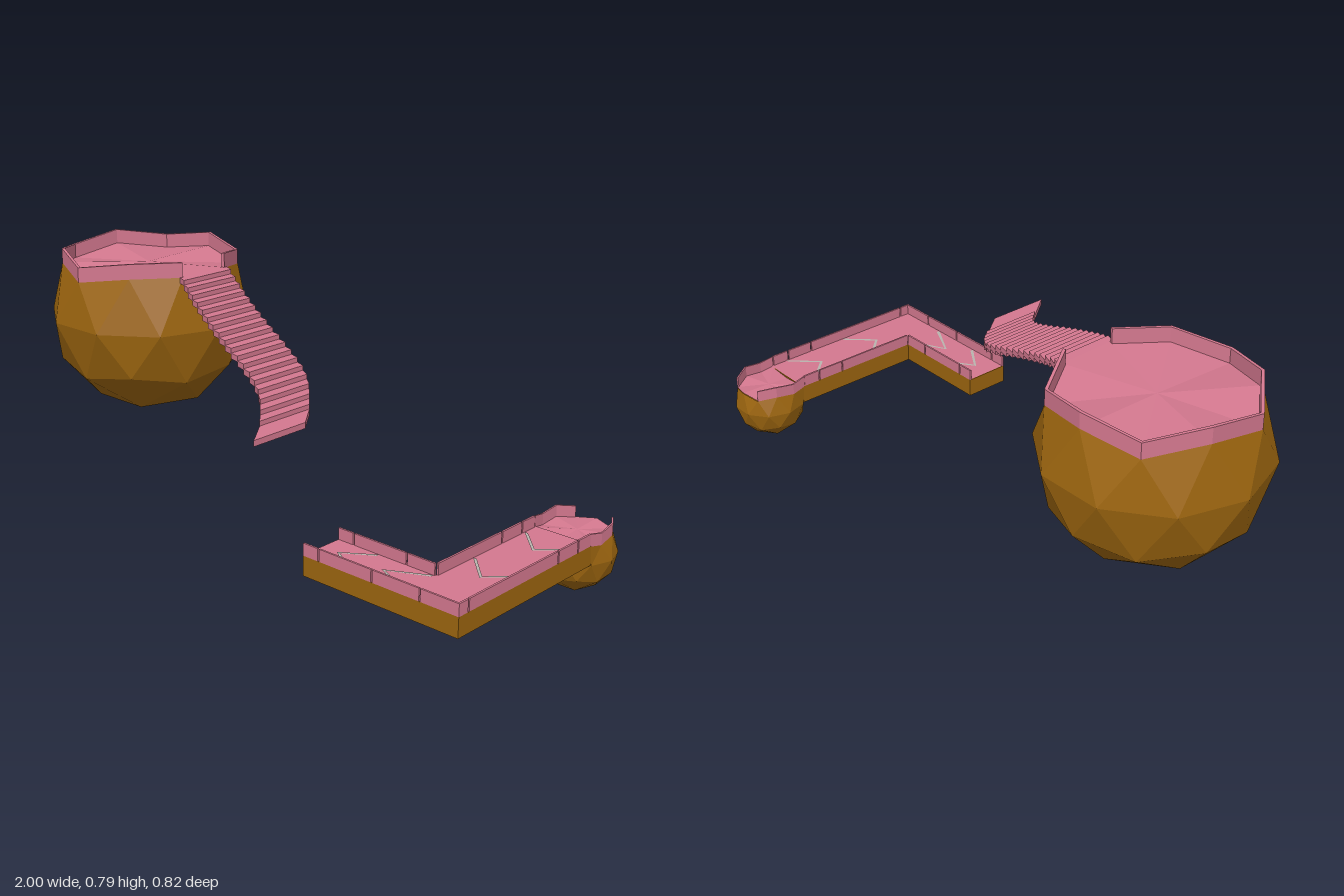
import * as THREE from 'three';

const mat = (color) => new THREE.MeshStandardMaterial({ color, flatShading: true, side: THREE.DoubleSide });
const BROWN = mat(0x9c650f), PINK = mat(0xd4788f), GREY = mat(0xb9b4ae);

function add(parent, name, geometry, material) {
  const mesh = new THREE.Mesh(geometry, material);
  mesh.name = name;
  parent.add(mesh);
  return mesh;
}

// Triangle soup from a list of Vector3 corners
function soup(points) {
  const g = new THREE.BufferGeometry().setFromPoints(points);
  g.computeVertexNormals();
  return g;
}

// Block from four floor corners (counter-clockwise from above) raised by h
function block(base, h) {
  const top = base.map((p) => p.clone().setY(p.y + h));
  const out = [];
  const quad = (a, b, c, d) => out.push(a, b, c, a, c, d);
  quad(...top);
  quad(base[3], base[2], base[1], base[0]);
  for (let i = 0; i < 4; i++) {
    const j = (i + 1) % 4;
    quad(base[i], base[j], top[j], top[i]);
  }
  return soup(out);
}

// Ten corners of the cut rim on a unit globe, every 36 degrees from +z towards +x
function rimPoint(k) {
  const low = k % 2 === 0, a = (k * Math.PI) / 5;
  const r = low ? 0.8944 : 0.8507;
  return new THREE.Vector3(r * Math.sin(a), low ? 0.4472 : 0.5257, r * Math.cos(a));
}

// Faceted globe with its cap removed, a floor over the cut and a low wall on chosen sides
function globe(name, r, centre, wallSides, wallH, wallT, adjust) {
  const group = new THREE.Group();
  group.name = name;
  group.position.copy(centre);

  const g = new THREE.IcosahedronGeometry(1, 1).rotateX(-Math.atan((1 + Math.sqrt(5)) / 2));
  const p = g.attributes.position, body = [];
  const rim = Array.from({ length: 10 }, (_, k) => rimPoint(k));
  const moved = rim.map((v, k) => adjust(v.clone(), k));
  for (let i = 0; i < p.count; i += 3) {
    const tri = [0, 1, 2].map((j) => new THREE.Vector3().fromBufferAttribute(p, i + j));
    if (tri.every((v) => v.y > 0.44)) continue;
    for (const v of tri) {
      const k = rim.findIndex((q) => q.distanceTo(v) < 0.02);
      body.push((k >= 0 ? moved[k].clone() : v).multiplyScalar(r));
    }
  }
  add(group, 'globeBody', soup(body), BROWN);

  const ring = moved.map((v) => v.clone().multiplyScalar(r));
  const mid = new THREE.Vector3(0, 0.5 * r, 0), floor = [];
  ring.forEach((v, k) => floor.push(mid, v, ring[(k + 1) % 10]));
  add(group, 'globeFloor', soup(floor), PINK).position.y = 0.002;

  const inward = (v) => new THREE.Vector3(v.x, 0, v.z).normalize().multiplyScalar(-wallT).add(v);
  for (const k of wallSides) {
    const a = ring[k], b = ring[(k + 1) % 10];
    add(group, 'rimWall', block([a, b, inward(b), inward(a)], wallH), PINK);
  }
  return group;
}

// Curved flight of thin sheared steps
function stairs() {
  const group = new THREE.Group();
  group.name = 'stairs';
  const path = [[-0.405, -0.073], [-0.3, -0.028], [-0.2, 0.007], [-0.1, 0.037], [0, 0.062], [0.1, 0.1], [0.2, 0.185], [0.295, 0.307]];
  const curve = new THREE.CatmullRomCurve3(path.map(([x, z]) => new THREE.Vector3(x, 0, z)));
  const samples = curve.getPoints(300);
  const zAt = (x) => samples.reduce((m, s) => (Math.abs(s.x - x) < Math.abs(m.x - x) ? s : m)).z;
  const count = 19, half = 0.102, thick = 0.018;
  for (let i = 0; i < count; i++) {
    const x0 = -0.405 + i * 0.035, x1 = i === count - 1 ? 0.295 : x0 + 0.035;
    const y = 0.745 - thick - (i * 0.262) / (count - 1), z0 = zAt(x0), z1 = zAt(x1);
    const corners = [[x0, z0 + half], [x1, z1 + half], [x1, z1 - half], [x0, z0 - half]];
    add(group, 'step', block(corners.map(([x, z]) => new THREE.Vector3(x, y, z)), thick), PINK);
  }
  return group;
}

// L-shaped walkway with split rails and arrow marks
function walkway() {
  const group = new THREE.Group();
  group.name = 'walkway';
  const X0 = 0.447, X1 = 0.785, X2 = 0.975, Z0 = 0.375, Z1 = 0.225, Z2 = -0.225;
  const outline = [[X0, Z0], [X2, Z0], [X2, Z2], [X1, Z2], [X1, Z1], [X0, Z1]];
  const shape = new THREE.Shape(outline.map(([x, z]) => new THREE.Vector2(x, -z)));
  const base = new THREE.ExtrudeGeometry(shape, { depth: 0.06, bevelEnabled: false }).rotateX(-Math.PI / 2);
  add(group, 'walkwayBase', base, BROWN).position.y = 0.121;
  add(group, 'walkwayFloor', new THREE.ShapeGeometry(shape).rotateX(-Math.PI / 2), PINK).position.y = 0.183;

  // Rails, broken by narrow gaps at the listed stops
  const t = 0.006, gap = 0.005, h = 0.037;
  const rail = (stops, fixed, alongX) => {
    for (let i = 0; i < stops.length - 1; i++) {
      const len = Math.abs(stops[i + 1] - stops[i]) - gap, c = (stops[i] + stops[i + 1]) / 2;
      const geo = new THREE.BoxGeometry(alongX ? len : t, h, alongX ? t : len);
      add(group, 'rail', geo, PINK).position.set(alongX ? c : fixed, 0.181 + h / 2, alongX ? fixed : c);
    }
  };
  rail([X0 - gap / 2, 0.503, 0.69, 0.85, X2 + gap / 2], Z0 - t / 2, true);
  rail([X0 - gap / 2, 0.503, 0.69, X1 + gap / 2], Z1 + t / 2, true);
  rail([Z0, 0.335, -0.06, -0.155, -0.218], X2 - t / 2, false);
  rail([Z1, -0.06, -0.155, -0.218], X1 + t / 2, false);

  // Arrow marks: tip position, backward reach, half width, direction
  const chevron = (x, z, reach, half, turn) => {
    const w = 0.012;
    const s = new THREE.Shape([[0, 0], [reach, half], [reach, half - w], [w, 0], [reach, w - half], [reach, -half]]
      .map(([a, b]) => new THREE.Vector2(a, b)));
    const mark = add(group, 'arrowMark', new THREE.ShapeGeometry(s).rotateX(-Math.PI / 2), GREY);
    mark.position.set(x, 0.185, z);
    mark.rotation.y = turn;
  };
  chevron(0.503, 0.3, 0.095, 0.067, 0);
  chevron(0.662, 0.3, 0.122, 0.067, 0);
  for (const z of [-0.075, 0.163]) chevron(0.88, z, 0.09, 0.088, Math.PI / 2);
  return group;
}

export function createModel() {
  const model = new THREE.Group();
  model.name = 'floatingIslands';

  // Large globe: open on the side where the stairs begin, with a levelled sill
  model.add(globe('largeGlobe', 0.33, new THREE.Vector3(-0.67, 0.57, -0.075), [0, 1, 3, 4, 5, 6, 7, 8, 9], 0.048, 0.01,
    (v, k) => (k === 2 ? v.set(0.81, 0.5257, 0.285) : v)));

  // Small globe: open to the walkway in front and at the back
  model.add(globe('smallGlobe', 0.118, new THREE.Vector3(0.88, 0.118, -0.297), [1, 2, 3, 6, 7, 8], 0.037, 0.005,
    (v, k) => (k === 1 || k === 9 ? v.setX(Math.sign(v.x) * 0.8) : v)));

  model.add(stairs(), walkway());
  return model;
}
